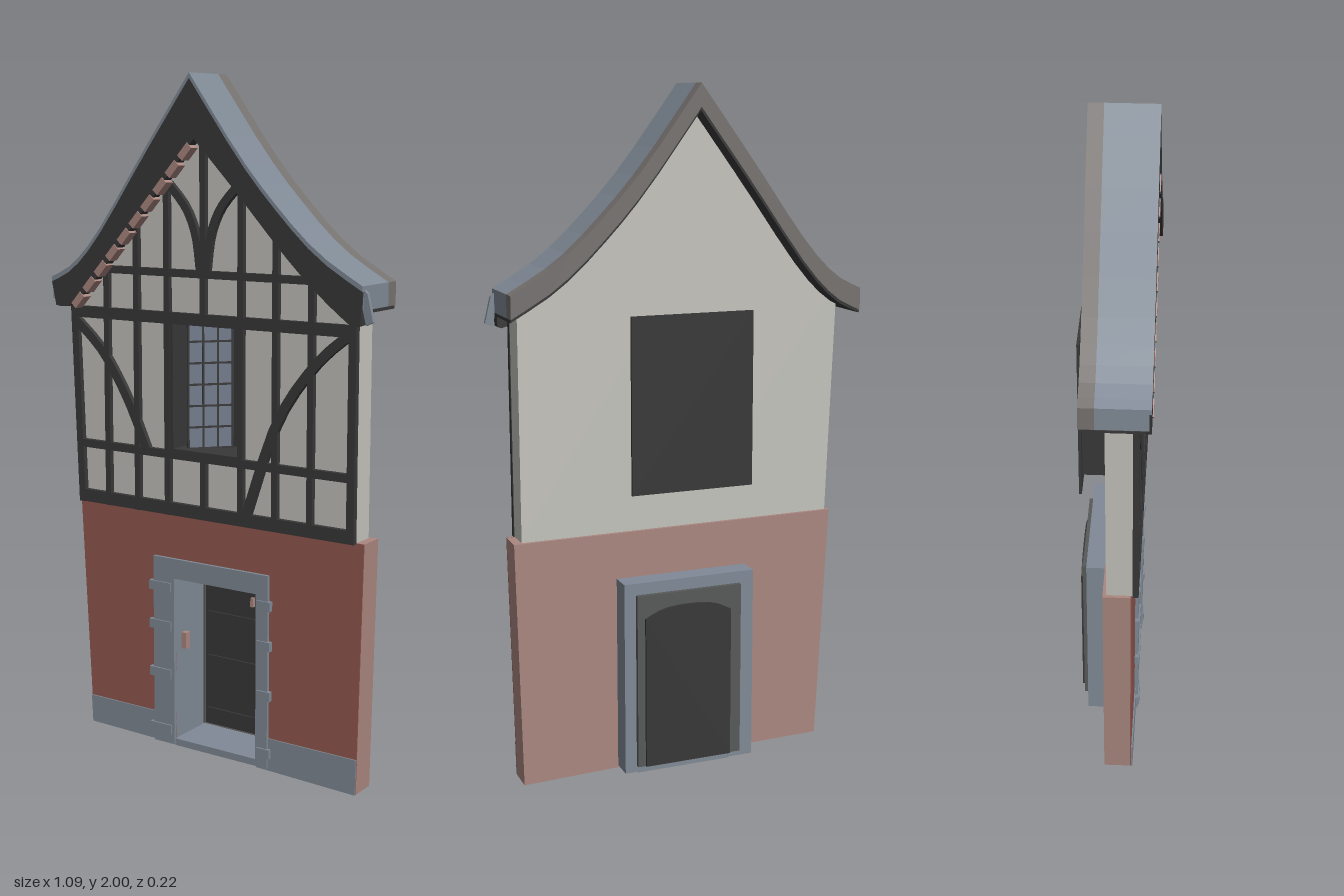
import * as THREE from 'three';

const mat = (name, color) => {
  const m = new THREE.MeshStandardMaterial({ color, side: THREE.DoubleSide });
  m.name = name;
  return m;
};

export function createModel() {
  const root = new THREE.Group();
  root.name = 'timberedHouseFront';
  const timber = mat('dark timber', 0x383838);
  const plaster = mat('white plaster', 0xc4c3bd);
  const brick = mat('red brick', 0x93584f);
  const clay = mat('pale clay', 0xab8780);
  const stone = mat('blue grey stone', 0x808a96);
  const edge = mat('warm grey roof edge', 0x767270);
  const iron = mat('grey door surround', 0x585a59);
  const glass = mat('glass', 0x747d8c);

  // helpers
  const add = (name, geo, m, parent = root) => {
    const mesh = new THREE.Mesh(geo, m);
    mesh.name = name;
    parent.add(mesh);
    return mesh;
  };
  const toShape = pts => new THREE.Shape(pts.map(p => new THREE.Vector2(p[0], p[1])));
  const rect = (x0, x1, y0, y1) => [[x0, y0], [x1, y0], [x1, y1], [x0, y1]];
  const plate = (name, pts, z0, z1, m, hole, parent) => {
    const s = toShape(pts);
    if (hole) s.holes.push(toShape(hole));
    const g = new THREE.ExtrudeGeometry(s, { depth: z1 - z0, bevelEnabled: false });
    return add(name, g.translate(0, 0, z0), m, parent);
  };
  const box = (name, x0, x1, y0, y1, z0, z1, m, parent) => {
    const g = new THREE.BoxGeometry(x1 - x0, y1 - y0, z1 - z0);
    return add(name, g.translate((x0 + x1) / 2, (y0 + y1) / 2, (z0 + z1) / 2), m, parent);
  };
  const smooth = (pts, n = 10) => new THREE.SplineCurve(pts.map(p => new THREE.Vector2(...p)))
    .getPoints(n).map(p => [p.x, p.y]);
  const lower = (pts, d) => pts.map(([x, y]) => [x, y - d]);

  // roof profiles: two curved slopes meeting in a sharp ridge
  const outer = [
    ...smooth([[-0.545, 1.415], [-0.46, 1.46], [-0.36, 1.565], [-0.2, 1.785], [-0.04, 2]]),
    ...smooth([[-0.04, 2], [0.12, 1.785], [0.245, 1.645], [0.375, 1.525], [0.515, 1.44]]).slice(1),
  ];
  const inner = [
    ...smooth([[-0.53, 1.33], [-0.47, 1.335], [-0.38, 1.415], [-0.2, 1.62], [-0.025, 1.82]]),
    ...smooth([[-0.025, 1.82], [0.108, 1.685], [0.225, 1.56], [0.34, 1.445], [0.47, 1.34], [0.51, 1.335]]).slice(1),
  ];

  // ground floor wall with a door opening
  const opening = [[0.16, 0.01], [0.16, 0.535], [-0.13, 0.535], [-0.13, 0.015]];
  const lowWall = [[-0.45, 0.02], ...[...opening].reverse(), [0.49, 0], [0.505, 0.73], [-0.485, 0.735]];
  plate('lowerWall', lowWall, -0.025, 0.053, clay);
  plate('brickFace', lowWall, 0.053, 0.056, brick);
  plate('plinthLeft', [[-0.45, 0.02], [-0.13, 0.015], [-0.13, 0.105], [-0.454, 0.105]], 0.056, 0.06, stone);
  plate('plinthRight', [[0.16, 0.008], [0.49, 0], [0.492, 0.105], [0.16, 0.105]], 0.056, 0.06, stone);

  // stone door surround, sill and quoins
  plate('doorFrame', [[-0.205, 0.015], [-0.13, 0.015], [-0.13, 0.535], [0.16, 0.535], [0.16, 0.015],
    [0.2, 0.015], [0.2, 0.595], [-0.205, 0.595]], -0.09, 0.066, stone);
  box('doorSill', -0.13, 0.16, 0.012, 0.033, -0.09, 0.062, stone);
  for (const y of [0.06, 0.235, 0.385, 0.505]) {
    box('quoinLeft', -0.218, -0.14, y - 0.014, y + 0.014, 0.05, 0.071, stone);
    box('quoinRight', 0.165, 0.21, y - 0.014, y + 0.014, 0.05, 0.071, stone);
  }

  // arched door with rails and small fittings
  const arch = [[-0.125, 0.036], [0.142, 0.036], ...smooth([[0.142, 0.49], [0.085, 0.515], [0.01, 0.522],
    [-0.07, 0.515], [-0.125, 0.49]])];
  plate('doorSurround', rect(-0.16, 0.165, 0.035, 0.56), -0.104, -0.088, iron, arch);
  plate('door', arch, -0.112, -0.094, timber);
  for (const y of [0.07, 0.24, 0.38])
    box('doorRail', -0.115, 0.13, y - 0.02, y + 0.02, -0.094, -0.088, timber);
  box('doorHandle', -0.128, -0.112, 0.31, 0.36, 0.01, 0.03, clay);
  box('doorLatch', 0.08, 0.09, 0.255, 0.285, -0.09, -0.08, clay);
  box('doorKnocker', 0.045, 0.055, 0.44, 0.468, -0.092, -0.082, clay);

  // upper plaster wall with a window opening
  const gable = lower(outer, 0.05).filter(([x]) => x > -0.48 && x < 0.46);
  const win = rect(-0.135, 0.11, 0.92, 1.315);
  plate('upperWall', [[-0.475, 0.73], [0.48, 0.73], [0.48, 1.405], ...[...gable].reverse(), [-0.5, 1.39]],
    -0.015, 0.06, plaster, win);

  // window box, back panel and casement swung inwards
  plate('windowBox', rect(-0.15, 0.115, 0.9, 1.33), -0.1, -0.015, timber, win);
  plate('windowLining', win, -0.014, 0.074, timber, rect(-0.123, 0.1, 0.93, 1.305));
  box('windowBackPanel', -0.19, 0.18, 0.86, 1.37, -0.108, -0.1, timber);
  const casement = new THREE.Group();
  casement.name = 'casement';
  casement.position.set(-0.1, 0, 0.035);
  casement.rotation.y = Math.atan2(0.1, 0.095);
  root.add(casement);
  box('panes', 0, 0.138, 0.925, 1.31, -0.002, 0.002, glass, casement);
  for (let i = 0; i < 4; i++)
    box('leadUpright', i * 0.044, i * 0.044 + 0.006, 0.925, 1.31, -0.004, 0.004, timber, casement);
  for (let i = 0; i < 7; i++)
    box('leadBar', 0, 0.138, 0.924 + i * 0.063, 0.93 + i * 0.063, -0.004, 0.004, timber, casement);

  // timber framing: each beam is a ribbon along a line or curve
  const beam = (name, pts, w) => {
    const c = pts.length > 2 ? smooth(pts, 10) : pts;
    const side = s => c.map(([x, y], i) => {
      const a = c[Math.max(i - 1, 0)], b = c[Math.min(i + 1, c.length - 1)];
      const dx = b[0] - a[0], dy = b[1] - a[1], k = s * w / 2 / Math.hypot(dx, dy);
      return [x - dy * k, y + dx * k];
    });
    plate(name, [...side(-1), ...side(1).reverse()], 0.058, 0.075, timber);
  };
  beam('cornerPostLeft', [[-0.465, 0.73], [-0.487, 1.33]], 0.024);
  beam('cornerPostRight', [[0.47, 0.73], [0.47, 1.36]], 0.024);
  for (const [x, top] of [[-0.365, 1.45], [-0.255, 1.58], [-0.145, 1.71], [0.11, 1.7], [0.225, 1.58], [0.34, 1.46]])
    beam('post', [[x, 0.73], [x, top]], 0.019);
  beam('kingPost', [[-0.018, 1.32], [-0.018, 1.84]], 0.019);
  beam('postBelowWindow', [[-0.018, 0.74], [-0.018, 0.92]], 0.019);
  beam('bottomRail', [[-0.476, 0.75], [0.482, 0.748]], 0.038);
  beam('sillRail', [[-0.47, 0.912], [0.475, 0.912]], 0.024);
  beam('eavesRail', [[-0.49, 1.312], [0.48, 1.314]], 0.034);
  beam('collarRail', [[-0.37, 1.443], [0.35, 1.443]], 0.022);
  beam('braceLeft', [[-0.48, 1.285], [-0.38, 1.195], [-0.29, 1.06], [-0.22, 0.915]], 0.028);
  beam('braceRight', [[0.46, 1.305], [0.35, 1.21], [0.23, 1.04], [0.13, 0.765]], 0.028);
  for (const s of [-1, 1])
    beam('crownBrace', [[-0.018 + s * 0.12, 1.695], [-0.018 + s * 0.06, 1.63],
      [-0.018 + s * 0.025, 1.55], [-0.018 + s * 0.01, 1.445]], 0.024);

  // roof slab, rear edge strip and bargeboard
  const slab = [...outer, ...lower(outer, 0.065).reverse()];
  plate('roof', slab, -0.038, 0.1, stone);
  plate('roofRearEdge', slab, -0.08, -0.038, edge);
  const under = lower(outer, 0.066);
  plate('roofLining', [...under, ...lower(outer, 0.074).reverse()], -0.075, 0.09, timber);
  plate('bargeboard', [...lower(outer, 0.015), ...[...inner].reverse()], 0.075, 0.106, timber);
  plate('roofFrontLip', [...outer, ...lower(outer, 0.015).reverse()], 0.1, 0.106, stone);

  // stepped clay tiles below the left bargeboard
  for (let i = 0; i < 10; i++) {
    const t = i / 9;
    const tile = box('vergeTile', -0.024, 0.024, -0.011, 0.011, 0.076, 0.109, clay);
    tile.position.set(-0.445 + t * 0.39, 1.35 + t * 0.435, 0);
    tile.rotation.z = 0.83;
  }

  // small hook plate at the right eaves
  plate('eavesHook', [[0.49, 1.45], [0.525, 1.42], [0.543, 1.345], [0.522, 1.335], [0.508, 1.39]], 0.085, 0.097, stone);
  return root;
}
